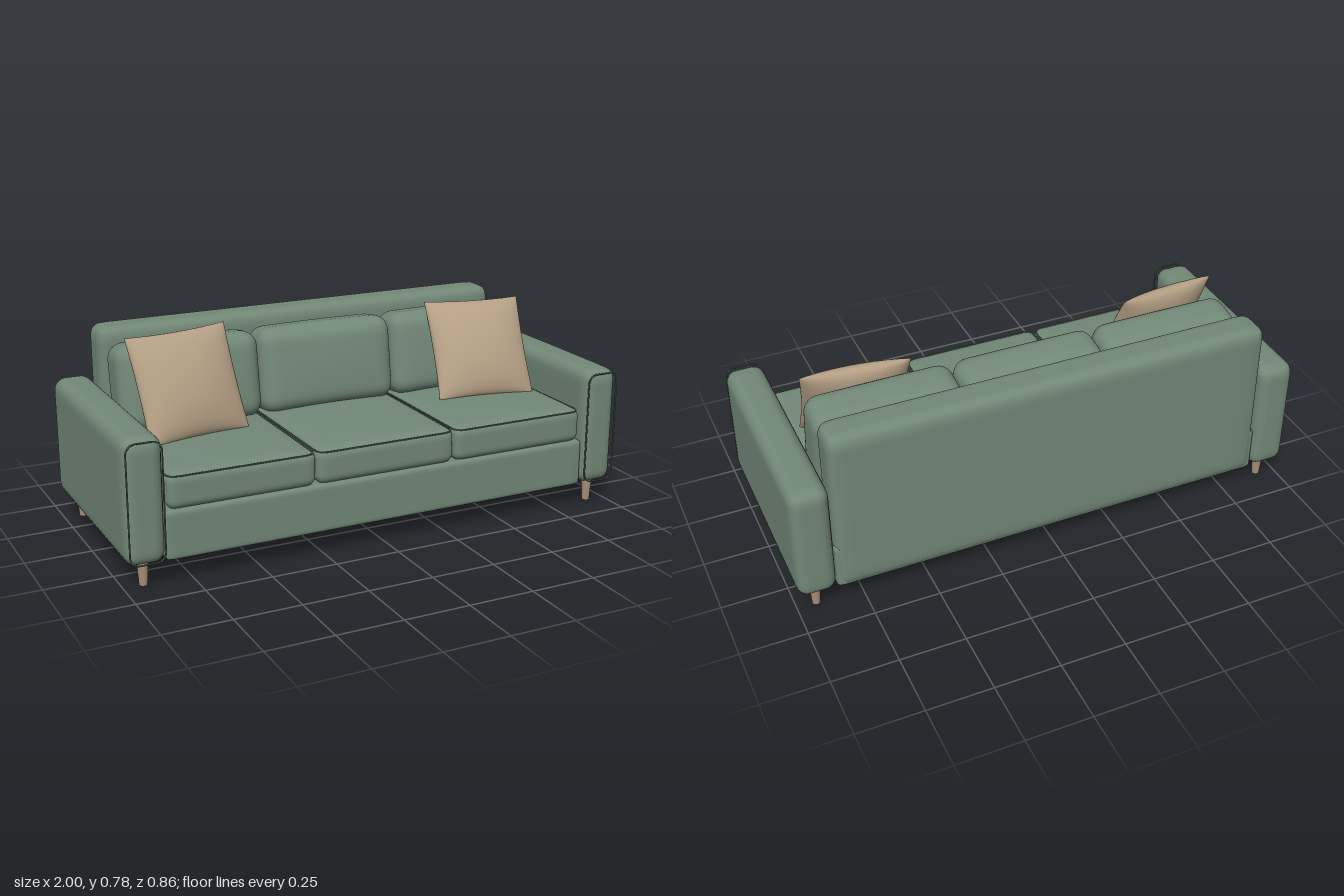
import * as THREE from 'three';
import { mergeVertices, mergeGeometries } from 'three/addons/utils/BufferGeometryUtils.js';

const mat = (name, color) => {
  const m = new THREE.MeshStandardMaterial({ color });
  m.name = name;
  return m;
};

// Welds the seams and recomputes smooth normals
function smooth(geo) {
  geo.deleteAttribute('normal');
  geo.deleteAttribute('uv');
  const g = mergeVertices(geo, 1e-5);
  g.computeVertexNormals();
  return g;
}

// Upholstered block: rounded box with optional crown on the top and the front
function softBox(w, h, d, r, crownTop = 0, crownFront = 0, n = 24) {
  const geo = new THREE.BoxGeometry(2, 2, 2, n, n, n);
  const pos = geo.attributes.position;
  const half = new THREE.Vector3(w / 2, h / 2, d / 2);
  const core = half.clone().subScalar(r);
  const low = core.clone().negate();
  const p = new THREE.Vector3(), inner = new THREE.Vector3();
  for (let i = 0; i < pos.count; i++) {
    // crowd the grid towards the edges so the rounding is fine
    p.fromBufferAttribute(pos, i);
    p.set(...p.toArray().map((t) => Math.sin((t * Math.PI) / 2)));
    const [a, b, c] = p.toArray();
    p.multiply(half);
    inner.copy(p).clamp(low, core);
    p.sub(inner).setLength(r).add(inner);
    if (b > 0) p.y += crownTop * b * (1 - a * a) * (1 - c * c);
    if (c > 0) p.z += crownFront * c * (1 - a * a) * (1 - b * b);
    pos.setXYZ(i, p.x, p.y, p.z);
  }
  return smooth(geo);
}

// Thin cord following a rounded rectangle in the xy plane
function pipingLoop(w, h, r, cord) {
  const x = w / 2, y = h / 2, q = Math.PI / 2;
  const s = new THREE.Path();
  s.absarc(x - r, y - r, r, 0, q);
  s.absarc(-x + r, y - r, r, q, 2 * q);
  s.absarc(-x + r, -y + r, r, 2 * q, 3 * q);
  s.absarc(x - r, -y + r, r, 3 * q, 4 * q);
  s.closePath();
  const pts = s.getSpacedPoints(100).slice(0, -1).map((v) => new THREE.Vector3(v.x, v.y, 0));
  return new THREE.TubeGeometry(new THREE.CatmullRomCurve3(pts, true), 140, cord, 6, true);
}

// Square throw pillow: two bulging panels pinched at the rim
function pillowGeometry(size, thick) {
  const panel = () => {
    const g = new THREE.PlaneGeometry(2, 2, 24, 24);
    const pos = g.attributes.position;
    for (let i = 0; i < pos.count; i++) {
      const u = Math.sin((pos.getX(i) * Math.PI) / 2);
      const v = Math.sin((pos.getY(i) * Math.PI) / 2);
      const bulge = Math.pow(Math.max(0, (1 - u * u) * (1 - v * v)), 0.5);
      pos.setXYZ(i,
        (size / 2) * u * (1 - 0.04 * (1 - v * v)),
        (size / 2) * v * (1 - 0.04 * (1 - u * u)),
        (thick / 2) * bulge);
    }
    return g;
  };
  return smooth(mergeGeometries([panel(), panel().rotateY(Math.PI)]));
}

export function createModel() {
  const sofa = new THREE.Group();
  sofa.name = 'sofa';
  const fabric = mat('sage fabric', 0x728877);
  const cordMat = mat('dark green piping', 0x566a5b);
  const linen = mat('beige linen', 0xb49f84);
  const wood = mat('pale wood', 0xa89078);

  const add = (name, geo, material, x, y, z) => {
    const m = new THREE.Mesh(geo, material);
    m.name = name;
    m.position.set(x, y, z);
    sofa.add(m);
    return m;
  };

  // Frame
  add('base', softBox(1.71, 0.185, 0.835, 0.018), fabric, 0, 0.1825, -0.002);
  add('backrest', softBox(1.7, 0.66, 0.15, 0.045), fabric, 0, 0.42, -0.355);

  // Arms with a cord loop on the front, and legs
  const arm = softBox(0.147, 0.46, 0.855, 0.045, 0.003);
  const armCord = pipingLoop(0.128, 0.436, 0.035, 0.003);
  const leg = new THREE.CylinderGeometry(0.022, 0.015, 0.11, 20);
  for (const side of [1, -1]) {
    const label = side > 0 ? 'left' : 'right';
    add(label + 'Arm', arm, fabric, side * 0.9265, 0.32, -0.0025);
    add(label + 'ArmPiping', armCord, cordMat, side * 0.9265, 0.32, 0.43);
    add(label + 'FrontLeg', leg, wood, side * 0.926, 0.055, 0.36);
    add(label + 'BackLeg', leg, wood, side * 0.926, 0.055, -0.36);
  }

  // Seat and back cushions
  const seat = softBox(0.562, 0.135, 0.69, 0.035, 0.013);
  const seatCord = pipingLoop(0.552, 0.68, 0.035, 0.003).rotateX(Math.PI / 2);
  const back = softBox(0.56, 0.33, 0.185, 0.06, 0.004, 0.012);
  for (const i of [-1, 0, 1]) {
    const x = i * 0.563;
    add('seatCushion', seat, fabric, x, 0.3375, 0.07);
    add('seatPiping', seatCord, cordMat, x, 0.394, 0.07);
    add('backCushion', back, fabric, x, 0.552, -0.152).rotation.x = -0.15;
  }

  // Throw pillows leaning on the back cushions
  const pillow = pillowGeometry(0.405, 0.135);
  const rightPillow = add('rightPillow', pillow, linen, -0.615, 0.59, 0.016);
  rightPillow.rotation.set(-0.42, 0.12, 0.02, 'YXZ');
  const leftPillow = add('leftPillow', pillow, linen, 0.612, 0.582, 0.027);
  leftPillow.rotation.set(-0.5, -0.11, -0.02, 'YXZ');

  return sofa;
}
